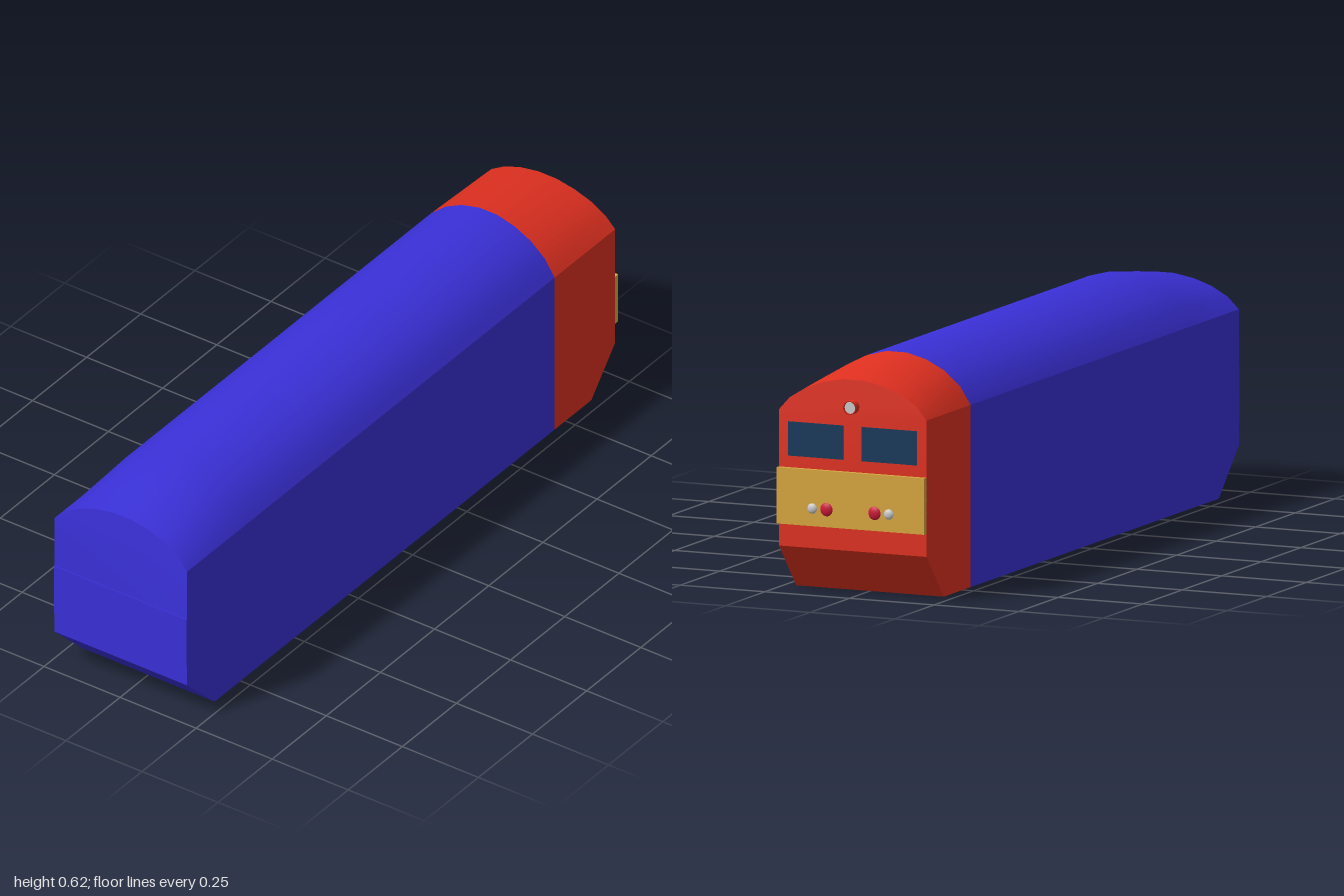
import * as THREE from 'three';
import { toCreasedNormals } from 'three/addons/utils/BufferGeometryUtils.js';

const HALF = 0.218, EAVE = 0.495, RIDGE = 0.624, SILL = 0.187, BELT = 0.34;
const RED = 0xe03020, BLUE = 0x3a30d8, YELLOW = 0xd9a73f, GLASS = 0x183a5c, LAMP = 0xcc1838, GREY = 0xcccccc;

// Half of the faceted roof arc: [z, y] from eave to ridge
const ROOF = [[HALF, EAVE], [0.187, 0.543], [0.14, 0.583], [0.088, 0.609], [0.03, RIDGE]];

// One cross-section ring, up the left wall, over the roof, down the other side.
// lean pulls the roof part inward along x on the end sections.
function section(x, bottom, top, lean = 0) {
  const k = (top - EAVE) / (RIDGE - EAVE);
  const half = [[HALF, bottom], [HALF, SILL],
    ...ROOF.map(([z, y]) => [z, EAVE + (y - EAVE) * k])];
  const ring = [...half, ...half.slice().reverse().map(([z, y]) => [-z, y])];
  return ring.map(([z, y]) => {
    const t = Math.max(0, (y - EAVE) / (top - EAVE));
    return [x - Math.sign(x) * lean * t, y, z];
  });
}

function toGeometry(tris) {
  const g = new THREE.BufferGeometry();
  g.setAttribute('position', new THREE.Float32BufferAttribute(tris.flat(), 3));
  g.computeVertexNormals();
  return toCreasedNormals(g, 0.45);
}

// Skin between consecutive sections; openBottom(i) leaves the flat underside out
function loft(sections, openBottom, cap) {
  const tris = [];
  for (let s = 0; s < sections.length - 1; s++) {
    const p = sections[s], q = sections[s + 1], n = p.length;
    for (let i = 0; i < n; i++) {
      if (i === n - 1 && openBottom(s)) continue;
      const j = (i + 1) % n;
      tris.push(p[i], q[i], q[j], p[i], q[j], p[j]);
    }
  }
  // End wall: lower band, middle band and roof fan
  const end = cap > 0 ? sections[sections.length - 1] : sections[0];
  const n = end.length;
  const add = (a, b, c) => (cap > 0 ? tris.push(a, c, b) : tris.push(a, b, c));
  for (let i = 0; i < 2; i++) {
    add(end[i], end[i + 1], end[n - 2 - i]);
    add(end[i], end[n - 2 - i], end[n - 1 - i]);
  }
  for (let i = 3; i < n - 3; i++) add(end[2], end[i], end[i + 1]);
  return toGeometry(tris);
}

export function createModel() {
  const model = new THREE.Group();
  const add = (name, geometry, color, x = 0, y = 0, z = 0) => {
    const mesh = new THREE.Mesh(geometry, new THREE.MeshStandardMaterial({ color }));
    mesh.name = name;
    mesh.position.set(x, y, z);
    model.add(mesh);
    return mesh;
  };

  // Long body with sloped rear roof and chamfered tail
  add('body', loft([
    section(-0.997, 0.125, 0.582, 0.01),
    section(-0.87, 0, 0.6),
    section(-0.71, 0, RIDGE),
    section(0.7, 0, RIDGE),
  ], (s) => s > 0, -1), BLUE);
  add('rearPanel', new THREE.BoxGeometry(0.01, BELT - SILL, HALF * 2), BLUE, -0.995, (BELT + SILL) / 2);

  // Cab with chamfered nose
  add('cab', loft([
    section(0.7, 0, RIDGE),
    section(0.87, 0, 0.603),
    section(0.98, 0.125, 0.589, 0.008),
  ], (s) => s < 1, 1), RED);

  // Flat underside
  const floor = new THREE.PlaneGeometry(1.74, HALF * 2);
  floor.rotateX(Math.PI / 2);
  add('underside', floor, RED);

  // Nose panel
  add('nosePanel', new THREE.BoxGeometry(0.02, BELT - SILL, HALF * 2), YELLOW, 0.984, (BELT + SILL) / 2);

  // Windows and lamps, mirrored
  for (const side of [1, -1]) {
    add('window', new THREE.BoxGeometry(0.006, 0.093, 0.163), GLASS, 0.979, 0.418, side * 0.109);
    const lamp = (name, r, z, color) => {
      const m = add(name, new THREE.SphereGeometry(r, 20, 14), color, 0.99, 0.235, side * z);
      m.scale.x = 0.01 / r;
    };
    lamp('tailLamp', 0.02, 0.071, LAMP);
    lamp('markerLamp', 0.0155, 0.113, GREY);
  }

  // Top headlight: housing ring with a lens set inside
  const housing = new THREE.LatheGeometry(
    [[0.019, -0.03], [0.019, 0], [0.0165, 0], [0.0165, -0.008]].map(([r, h]) => new THREE.Vector2(r, h)), 24);
  housing.rotateZ(-Math.PI / 2);
  add('headlightHousing', housing, RED, 1, 0.517, 0).material.side = THREE.DoubleSide;
  const lens = new THREE.CylinderGeometry(0.0168, 0.0168, 0.02, 24);
  lens.rotateZ(Math.PI / 2);
  add('headlightLens', lens, GREY, 0.985, 0.517, 0);

  return model;
}
